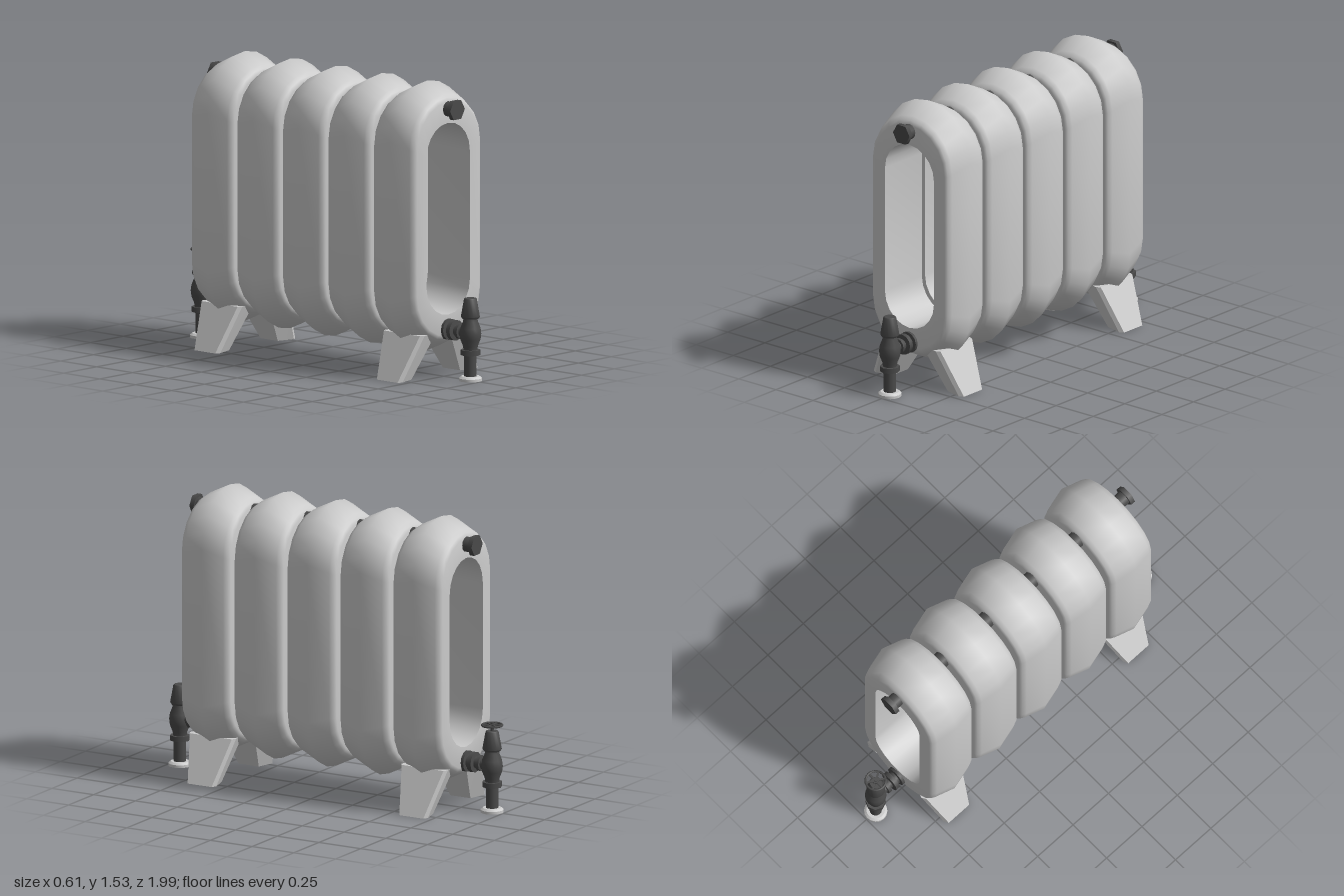
import * as THREE from 'three';
import { toCreasedNormals } from 'three/addons/utils/BufferGeometryUtils.js';

const grey = new THREE.MeshStandardMaterial({ color: 0xcccccc });
const iron = new THREE.MeshStandardMaterial({ color: 0x4a4a4a });
const MID_Y = 0.825, PITCH = 0.317, END_Z = 2 * PITCH;

function add(parent, name, geometry, material, x = 0, y = 0, z = 0) {
  const mesh = new THREE.Mesh(geometry, material);
  mesh.name = name;
  mesh.position.set(x, y, z);
  parent.add(mesh);
  return mesh;
}

// Skin equal-length loops of points; optionally join last to first or cap the ends
function loft(loops, { closed = false, caps = false, crease = 0.6 } = {}) {
  const n = loops[0].length, m = loops.length, index = [];
  const points = loops.flat();
  for (let i = 0; i < (closed ? m : m - 1); i++) {
    for (let j = 0; j < n; j++) {
      const a = i * n + j, b = i * n + (j + 1) % n;
      const c = ((i + 1) % m) * n + j, d = ((i + 1) % m) * n + (j + 1) % n;
      index.push(a, b, d, a, d, c);
    }
  }
  if (caps) for (let j = 1; j < n - 1; j++) {
    const t = (m - 1) * n;
    index.push(0, j + 1, j, t, t + j, t + j + 1);
  }
  const g = new THREE.BufferGeometry();
  g.setAttribute('position', new THREE.Float32BufferAttribute(points.flat(), 3));
  g.setIndex(index);
  return toCreasedNormals(g, crease);
}

// Upright oval: half width r, height reaching top, mirrored about MID_Y
function oval(r, top, z, steps = 10) {
  const loop = [], straight = top - r - MID_Y;
  for (const half of [0, 1]) for (let i = 0; i <= steps; i++) {
    const a = Math.PI * (half + i / steps);
    loop.push([r * Math.cos(a), MID_Y + (half ? -straight : straight) + r * Math.sin(a), z]);
  }
  return loop;
}

function sectionGeometry() {
  // [half width, top, z] around the tube of one hollow section
  const profile = [
    [0.165, 1.325, -0.146], [0.236, 1.435, -0.146], [0.252, 1.456, -0.138], [0.261, 1.472, -0.115],
    [0.285, 1.528, 0],
    [0.261, 1.472, 0.115], [0.252, 1.456, 0.138], [0.236, 1.435, 0.146], [0.165, 1.325, 0.146],
  ];
  return loft(profile.map(p => oval(...p)), { closed: true, crease: 1.1 });
}

function legGeometry() {
  // Hexagonal outline given by outer, shoulder and inner corners
  const hex = (y, [xo, zo], [xs, zs], [xi, zi]) => [
    [xo, y, zo], [xo, y, -zo], [xs, y, -zs], [xi, y, -zi], [xi, y, zi], [xs, y, zs],
  ];
  return loft([
    hex(0, [0.304, 0.072], [0.28, 0.085], [0.185, 0.06]),
    hex(0.235, [0.192, 0.125], [0.17, 0.138], [0.05, 0.11]),
  ], { caps: true, crease: 0.2 });
}

function lathe(points, sides = 16) {
  const g = new THREE.LatheGeometry(points.map(p => new THREE.Vector2(...p)), sides);
  return toCreasedNormals(g, 0.7);
}

// Turned part along z, pointing outwards at +z; points are [radius, z]
const along = (points, sides) => lathe(points, sides).rotateX(Math.PI / 2);

function makeValve(name, withWheel) {
  const valve = new THREE.Group();
  valve.name = name;
  const z = 0.935;
  add(valve, 'floorFlange', lathe([[0, 0], [0.06, 0], [0.06, 0.014], [0.048, 0.024], [0, 0.024]]), grey, 0, 0, z);
  add(valve, 'supplyPipe', new THREE.CylinderGeometry(0.032, 0.032, 0.13, 16), iron, 0, 0.075, z);
  add(valve, 'pipeNut', new THREE.CylinderGeometry(0.052, 0.052, 0.027, 8), iron, 0, 0.148, z);
  add(valve, 'valveBody', lathe([
    [0, 0.16], [0.036, 0.16], [0.038, 0.18], [0.052, 0.215], [0.056, 0.245],
    [0.052, 0.275], [0.038, 0.31], [0.036, 0.328], [0, 0.328],
  ]), iron, 0, 0, z);
  add(valve, 'valveCap', lathe([
    [0, 0.325], [0.044, 0.325], [0.05, 0.335], [0.034, 0.425], [0.03, 0.43], [0, 0.43],
  ], 12), iron, 0, 0, z);

  // Horizontal union into the end section
  add(valve, 'unionTail', along([
    [0, 0.75], [0.056, 0.75], [0.056, 0.795], [0.036, 0.797], [0.036, 0.812],
    [0.054, 0.814], [0.054, 0.838], [0.03, 0.84], [0.03, 0.856],
    [0.042, 0.858], [0.042, 0.876], [0.03, 0.878], [0.03, 0.92], [0, 0.92],
  ], 12), iron, 0, 0.25, 0);

  if (withWheel) {
    const wheel = new THREE.Group();
    wheel.name = 'handWheel';
    wheel.position.set(0, 0.46, z);
    add(wheel, 'stem', new THREE.CylinderGeometry(0.009, 0.009, 0.05, 8), iron, 0, -0.01, 0);
    add(wheel, 'hub', new THREE.CylinderGeometry(0.017, 0.017, 0.014, 12), iron);
    add(wheel, 'rim', new THREE.TorusGeometry(0.052, 0.006, 6, 24).rotateX(Math.PI / 2), iron);
    for (let i = 0; i < 3; i++) {
      add(wheel, 'spoke', new THREE.BoxGeometry(0.1, 0.007, 0.01), iron).rotation.y = i * Math.PI / 3;
    }
    valve.add(wheel);
  }
  return valve;
}

export function createModel() {
  const model = new THREE.Group();
  model.name = 'radiator';

  // Five hollow sections
  const section = sectionGeometry();
  for (let i = -2; i <= 2; i++) add(model, 'section', section, grey, 0, 0, i * PITCH);

  // Nipples joining neighbouring sections, top and bottom
  const nipple = new THREE.CylinderGeometry(0.046, 0.046, 0.08, 12).rotateX(Math.PI / 2);
  for (let i = -1.5; i <= 1.5; i++) {
    add(model, 'topNipple', nipple, iron, 0, 1.4, i * PITCH);
    add(model, 'bottomNipple', nipple, iron, 0, 0.25, i * PITCH);
  }

  // Hexagonal end plugs
  const plugNeck = new THREE.CylinderGeometry(0.04, 0.04, 0.07, 12).rotateX(Math.PI / 2);
  const plugHead = new THREE.CylinderGeometry(0.056, 0.056, 0.026, 6).rotateY(Math.PI / 2).rotateX(Math.PI / 2);
  plugHead.rotateZ(0);
  for (const s of [-1, 1]) {
    add(model, 'plugNeck', plugNeck, iron, 0, 1.398, s * 0.795);
    add(model, 'plugHead', plugHead, iron, 0, 1.398, s * 0.832);
  }

  // Splayed legs under both end sections
  const leg = legGeometry();
  for (const s of [-1, 1]) {
    add(model, 'leftLeg', leg, grey, 0, 0, s * END_Z);
    add(model, 'rightLeg', leg, grey, 0, 0, s * END_Z).rotation.y = Math.PI;
  }

  // Capped valve in front, hand-wheel valve behind
  model.add(makeValve('frontValve', false));
  const back = makeValve('backValve', true);
  back.rotation.y = Math.PI;
  model.add(back);
  return model;
}
